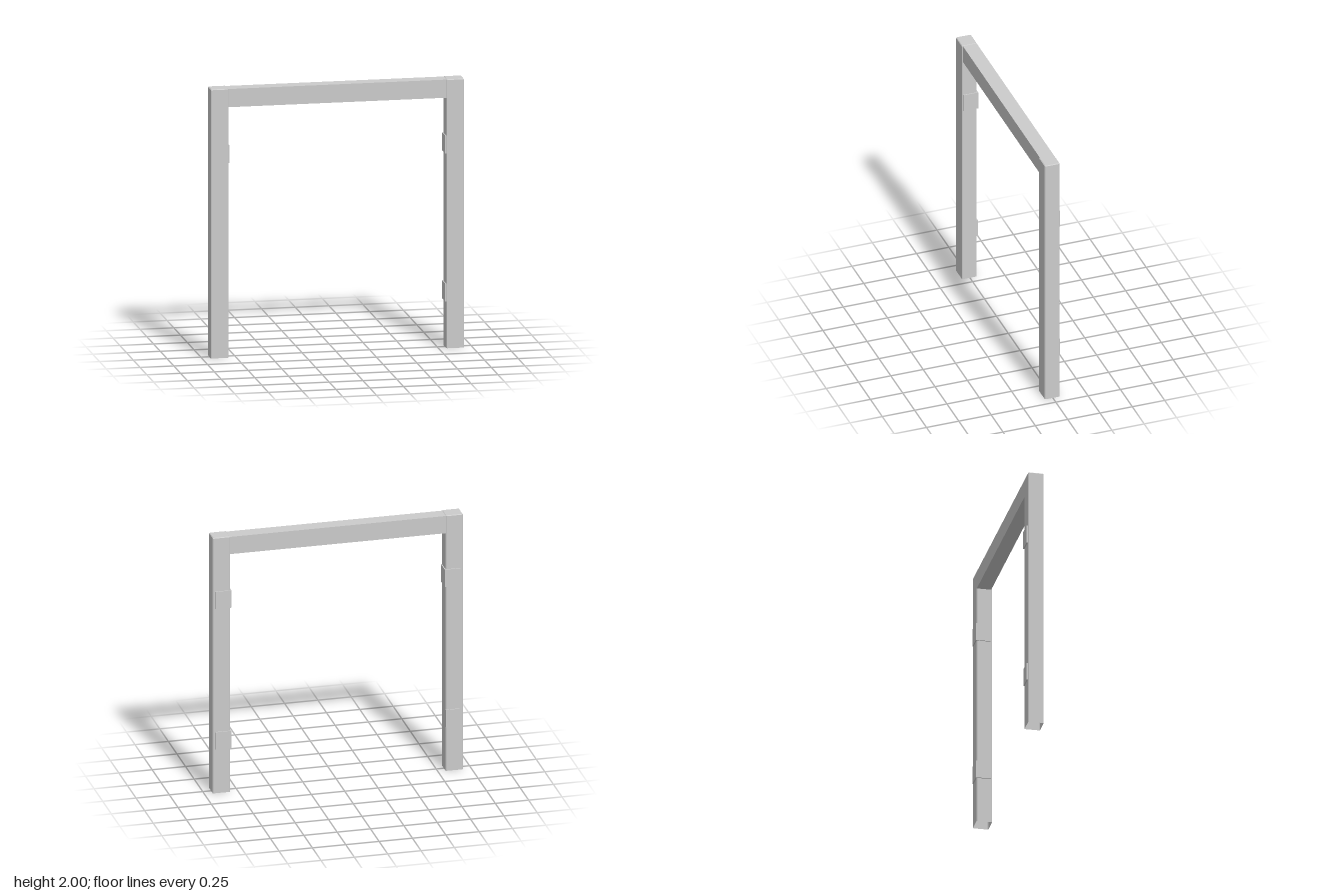
import * as THREE from 'three';

const material = new THREE.MeshStandardMaterial({ color: 0xcccccc, side: THREE.DoubleSide });

// Box given by its min and max corners
function box(name, [x0, y0, z0], [x1, y1, z1]) {
  const geometry = new THREE.BoxGeometry(x1 - x0, y1 - y0, z1 - z0);
  geometry.translate((x0 + x1) / 2, (y0 + y1) / 2, (z0 + z1) / 2);
  const mesh = new THREE.Mesh(geometry, material);
  mesh.name = name;
  return mesh;
}

// Chamfered rectangle section at height y, counter-clockwise seen from above
function section(x0, x1, z0, z1, y, inset, c) {
  const a = x0 + inset, b = x1 - inset, p = z0 + inset, q = z1 - inset;
  return [[a, q - c], [a + c, q], [b - c, q], [b, q - c], [b, p + c], [b - c, p], [a + c, p], [a, p + c]]
    .map(([x, z]) => new THREE.Vector3(x, y, z));
}

// Upright with softened edges, closed on top and open underneath
function post(name, x0, x1, z0, z1, height) {
  const c = 0.005;
  const rings = [
    section(x0, x1, z0, z1, 0, 0, c),
    section(x0, x1, z0, z1, height - c, 0, c),
    section(x0, x1, z0, z1, height, c, 0.002),
  ];
  const points = [];
  const n = rings[0].length;
  for (let r = 0; r < rings.length - 1; r++) {
    for (let i = 0; i < n; i++) {
      const j = (i + 1) % n;
      const a = rings[r][i], b = rings[r][j], d = rings[r + 1][i], e = rings[r + 1][j];
      points.push(a, b, e, a, e, d);
    }
  }
  const top = rings[rings.length - 1];
  for (let i = 1; i < n - 1; i++) points.push(top[0], top[i], top[i + 1]);
  const geometry = new THREE.BufferGeometry().setFromPoints(points);
  geometry.computeVertexNormals();
  const mesh = new THREE.Mesh(geometry, material);
  mesh.name = name;
  return mesh;
}

export function createModel() {
  const group = new THREE.Group();
  group.name = 'doorFrame';
  const inner = 0.807, outer = 0.9375, back = -0.054, front = 0.061;

  // Uprights
  group.add(post('leftPost', inner, outer, back, front, 2));
  group.add(post('rightPost', -outer, -inner, back, front, 2));

  // Head beam, set back slightly from the front of the posts
  group.add(box('headBeam', [-inner - 0.01, 1.862, back + 0.001], [inner + 0.01, 1.997, 0.054]));

  // Hinge plates folded around the rear inner corner; the lower right one has no inner leaf
  const t = 0.008;
  for (const side of [1, -1]) {
    for (const [y0, y1] of [[0.345, 0.48], [1.445, 1.58]]) {
      const hinge = new THREE.Group();
      hinge.name = (side > 0 ? 'left' : 'right') + (y0 > 1 ? 'Upper' : 'Lower') + 'Hinge';
      const hasInner = side > 0 || y0 > 1;
      const xs = [side * (hasInner ? inner - t : inner), side * 0.918].sort((a, b) => a - b);
      hinge.add(box('backLeaf', [xs[0], y0, back - t], [xs[1], y1, back + 0.002]));
      if (hasInner) {
        const xi = [side * (inner - t), side * (inner + 0.002)].sort((a, b) => a - b);
        hinge.add(box('innerLeaf', [xi[0], y0, back], [xi[1], y1, 0.05]));
      }
      group.add(hinge);
    }
  }
  return group;
}
